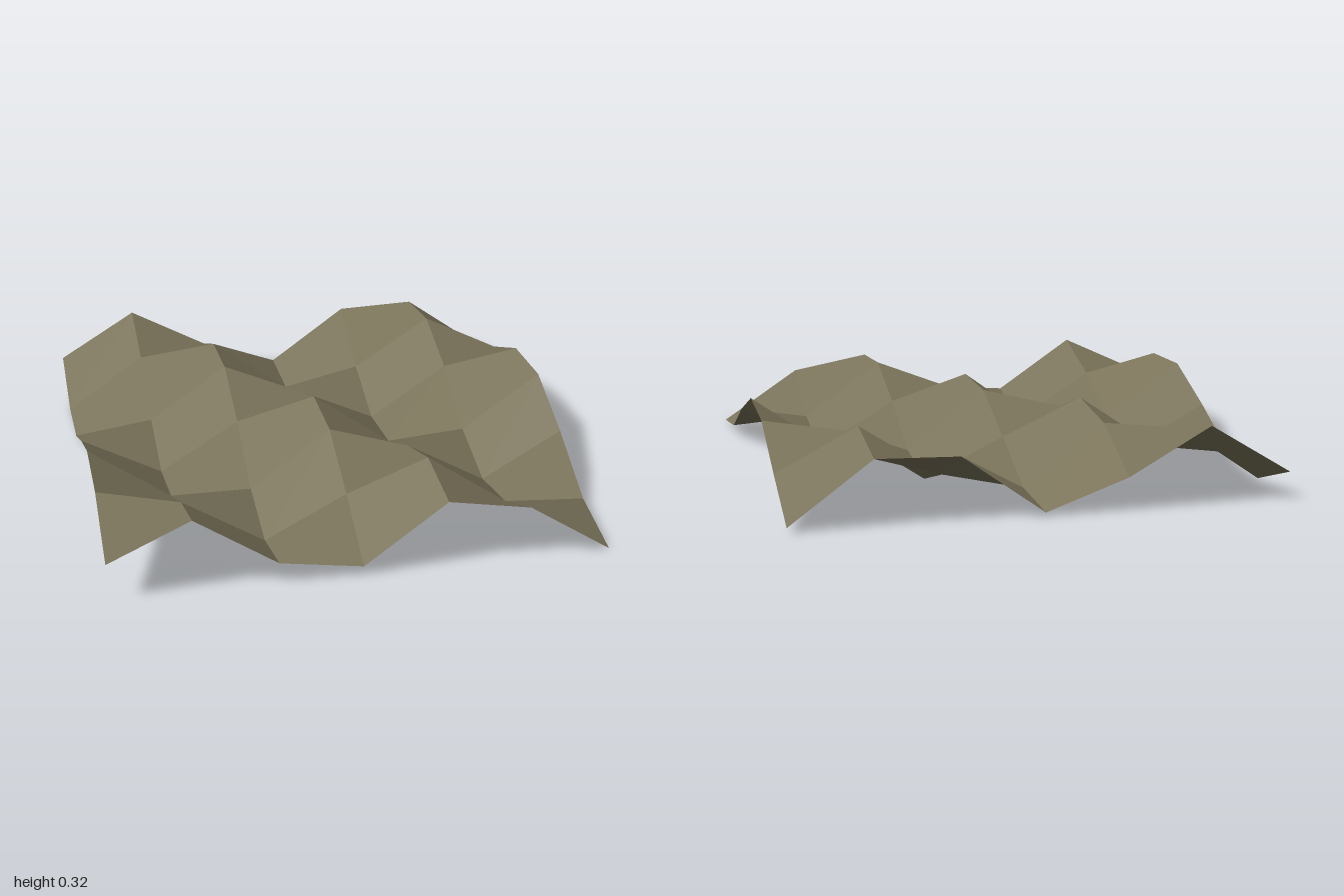
import * as THREE from 'three';

const CELLS = 6;        // tiles along each side
const AMPLITUDE = 0.159;

// Height of a grid point: a diagonal wave sampled coarsely
function waveHeight(x, z) {
  const column = (x + 1) * CELLS / 2;
  const row = (1 - z) * CELLS / 2;
  return AMPLITUDE * (1 + Math.sin(1.8 * column + row));
}

// Give the two triangles of each square tile one shared normal
function facetTiles(geometry) {
  const pos = geometry.attributes.position;
  const normal = geometry.attributes.normal;
  const point = (i) => new THREE.Vector3().fromBufferAttribute(pos, i);
  for (let t = 0; t < pos.count; t += 6) {
    // Corners run a, b, d, b, c, d
    const ac = point(t + 4).sub(point(t));
    const bd = point(t + 2).sub(point(t + 1));
    const n = ac.cross(bd).normalize();
    if (n.y < 0) n.negate();
    for (let k = 0; k < 6; k++) normal.setXYZ(t + k, n.x, n.y, n.z);
  }
}

export function createModel() {
  const group = new THREE.Group();
  group.name = 'terrainPatch';

  const earth = new THREE.MeshStandardMaterial({ color: 0x7a735a, side: THREE.DoubleSide });
  earth.name = 'earth brown';

  // Rippled ground sheet
  const plane = new THREE.PlaneGeometry(2, 2, CELLS, CELLS).rotateX(-Math.PI / 2);
  const pos = plane.attributes.position;
  for (let i = 0; i < pos.count; i++) {
    pos.setY(i, waveHeight(pos.getX(i), pos.getZ(i)));
  }
  const geometry = plane.toNonIndexed();
  facetTiles(geometry);

  const ground = new THREE.Mesh(geometry, earth);
  ground.name = 'ground';
  group.add(ground);
  return group;
}
